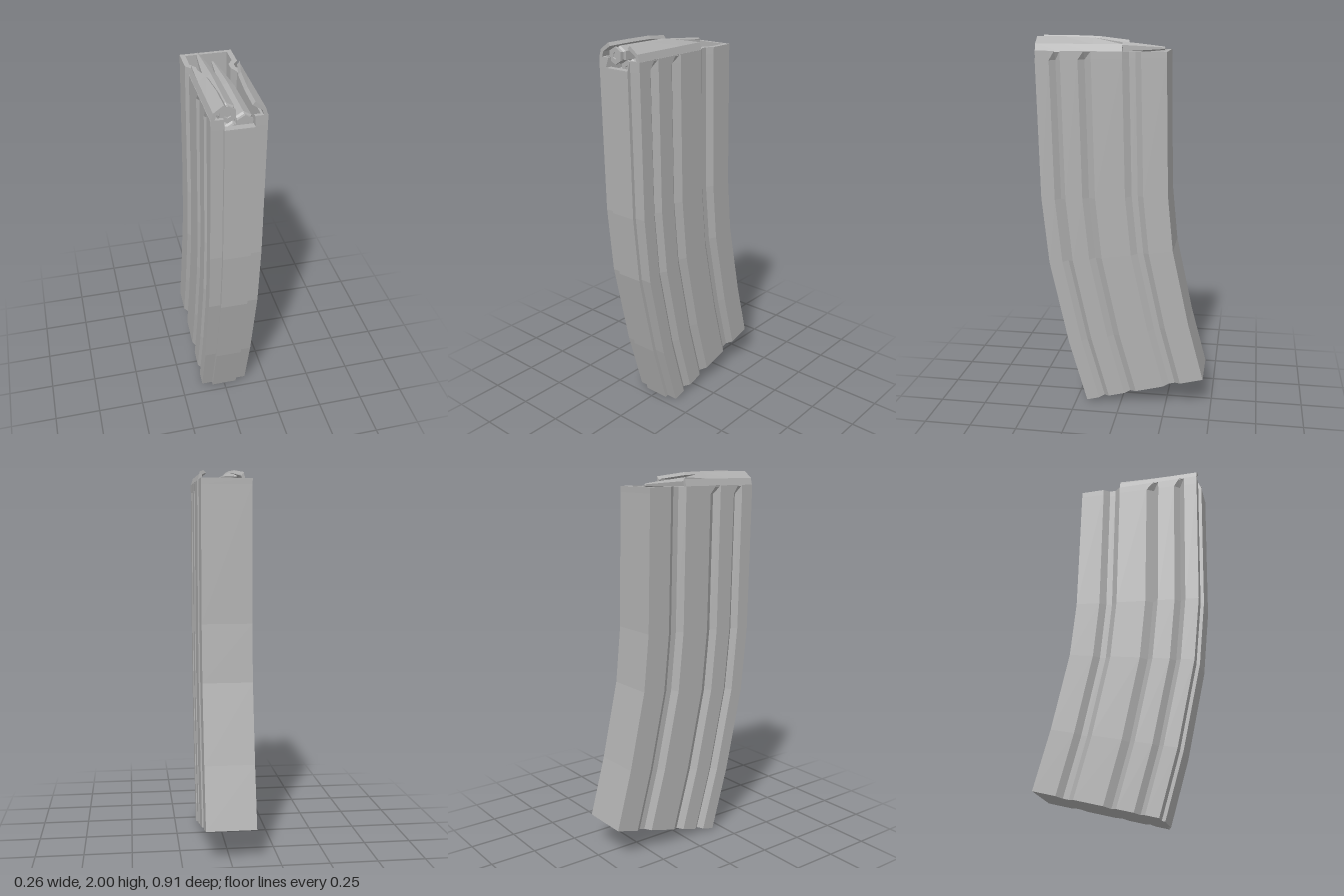
import * as THREE from 'three';

const steel = new THREE.MeshStandardMaterial({ color: 0xb0b0b0 });
steel.name = 'grey steel';

// Facet a geometry so every face is flat
function faceted(geometry) {
  const g = geometry.index ? geometry.toNonIndexed() : geometry;
  g.computeVertexNormals();
  return g;
}

// Skin matching rings of [x, y, z] points and cap both ends; flat() projects a ring to 2D
function loft(rings, flat) {
  const n = rings[0].length;
  const index = [];
  for (let i = 0; i < rings.length - 1; i++) {
    for (let j = 0; j < n; j++) {
      const a = i * n + j, b = i * n + (j + 1) % n;
      index.push(a, b, b + n, a, b + n, a + n);
    }
  }
  const cap = (ring) => THREE.ShapeUtils.triangulateShape(ring.map((p) => new THREE.Vector2(...flat(p))), []);
  const last = (rings.length - 1) * n;
  for (const [a, b, c] of cap(rings[0])) index.push(a, c, b);
  for (const [a, b, c] of cap(rings[rings.length - 1])) index.push(last + a, last + b, last + c);
  const g = new THREE.BufferGeometry();
  g.setAttribute('position', new THREE.Float32BufferAttribute(rings.flat(2), 3));
  g.setIndex(index);
  return faceted(g);
}

// Complete a half ring by mirroring it across x
const mirrored = (half) => [...half, ...half.map(([x, y, z]) => [-x, y, z]).reverse()];

function makeBody() {
  // Half outline, front rib to back: [x, z]
  const FRONT = 0.455, BACK = -0.235, TOP = 1.93, NOTCH = 1.885;
  const outline = [
    [0.07, FRONT], [0.07, 0.437], [0.13, 0.437],
    [0.13, 0.366], [0.105, 0.337], [0.13, 0.308],
    [0.13, 0.217], [0.105, 0.186], [0.13, 0.149],
    [0.13, -0.01], [0.105, -0.042], [0.105, -0.074], [0.13, -0.106],
    [0.13, BACK],
  ];
  // Half outline of the cavity
  const cavity = [
    [0.07, 0.42], [0.07, 0.42], [0.1, 0.42],
    [0.1, 0.366], [0.1, 0.337], [0.1, 0.308],
    [0.1, 0.217], [0.1, 0.186], [0.1, 0.149],
    [0.1, 0.005], [0.08, -0.035], [0.08, -0.082], [0.105, -0.118],
    [0.105, -0.215],
  ];
  // Curved spine: front z, front y, back z, back y
  const stations = [
    [0.207, 0, -0.455, 0.175],
    [0.305, 0.34, -0.37, 0.49],
    [0.405, 0.8, -0.28, 0.9],
    [0.44, 1.15, -0.25, 1.2],
    [FRONT, 1.88, BACK, 1.9],
  ];
  const rings = stations.map(([fz, fy, bz, by]) => mirrored(outline.map(([x, z]) => {
    const t = (FRONT - z) / (FRONT - BACK);
    return [x, fy + (by - fy) * t, fz + (bz - fz) * t];
  })));
  // The two front grooves close below the rim; the rib stops at the front notch
  const height = (i) => (i === 0 ? NOTCH : TOP);
  rings.push(mirrored(outline.map(([x, z], i) => [i === 4 || i === 7 ? 0.13 : x, height(i), z])));
  rings.push(mirrored(cavity.map(([x, z], i) => [x, height(i), z])));
  rings.push(mirrored(cavity.map(([x, z]) => [x, 1.8, z])));
  return loft(rings, ([x, , z]) => [x, -z]);
}

function makeLip(side) {
  // Back to front: z, inner edge x, top y
  const stations = [[-0.01, 0.105, 1.975], [0.14, 0.07, 1.995], [0.3, 0.058, 2], [0.437, 0.057, 2]];
  const rings = stations.map(([z, edge, top]) => {
    const ring = [
      [0.13, 1.925], [0.118, 1.965], [edge + 0.013, top],
      [edge, top - 0.015], [0.103, 1.955], [0.112, 1.925],
    ].map(([x, y]) => [side * x, y, z]);
    return side > 0 ? ring : ring.reverse();
  });
  return loft(rings, ([x, y]) => [x, y]);
}

function makeCartridge() {
  // Radius and distance from the base
  const profile = [
    [0, 0.005], [0.015, 0.005], [0.017, 0], [0.042, 0], [0.042, 0.012],
    [0.035, 0.016], [0.035, 0.025], [0.043, 0.035], [0.039, 0.325],
    [0.031, 0.41], [0.022, 0.5], [0.008, 0.62], [0, 0.625],
  ].map(([r, d]) => new THREE.Vector2(r, d));
  return faceted(new THREE.LatheGeometry(profile, 6).rotateX(-Math.PI / 2));
}

export function createModel() {
  const group = new THREE.Group();
  group.name = 'curvedMagazine';
  const add = (name, geometry, x = 0, y = 0, z = 0) => {
    const mesh = new THREE.Mesh(geometry, steel);
    mesh.name = name;
    mesh.position.set(x, y, z);
    group.add(mesh);
  };

  add('body', makeBody());
  add('leftFeedLip', makeLip(1));
  add('rightFeedLip', makeLip(-1));

  // Staggered cartridges
  const cartridge = makeCartridge();
  add('topCartridge', cartridge, -0.047, 1.938, 0.415);
  add('middleCartridge', cartridge, 0.032, 1.885, 0.415);
  add('lowerCartridge', cartridge, -0.018, 1.845, 0.415);
  return group;
}
